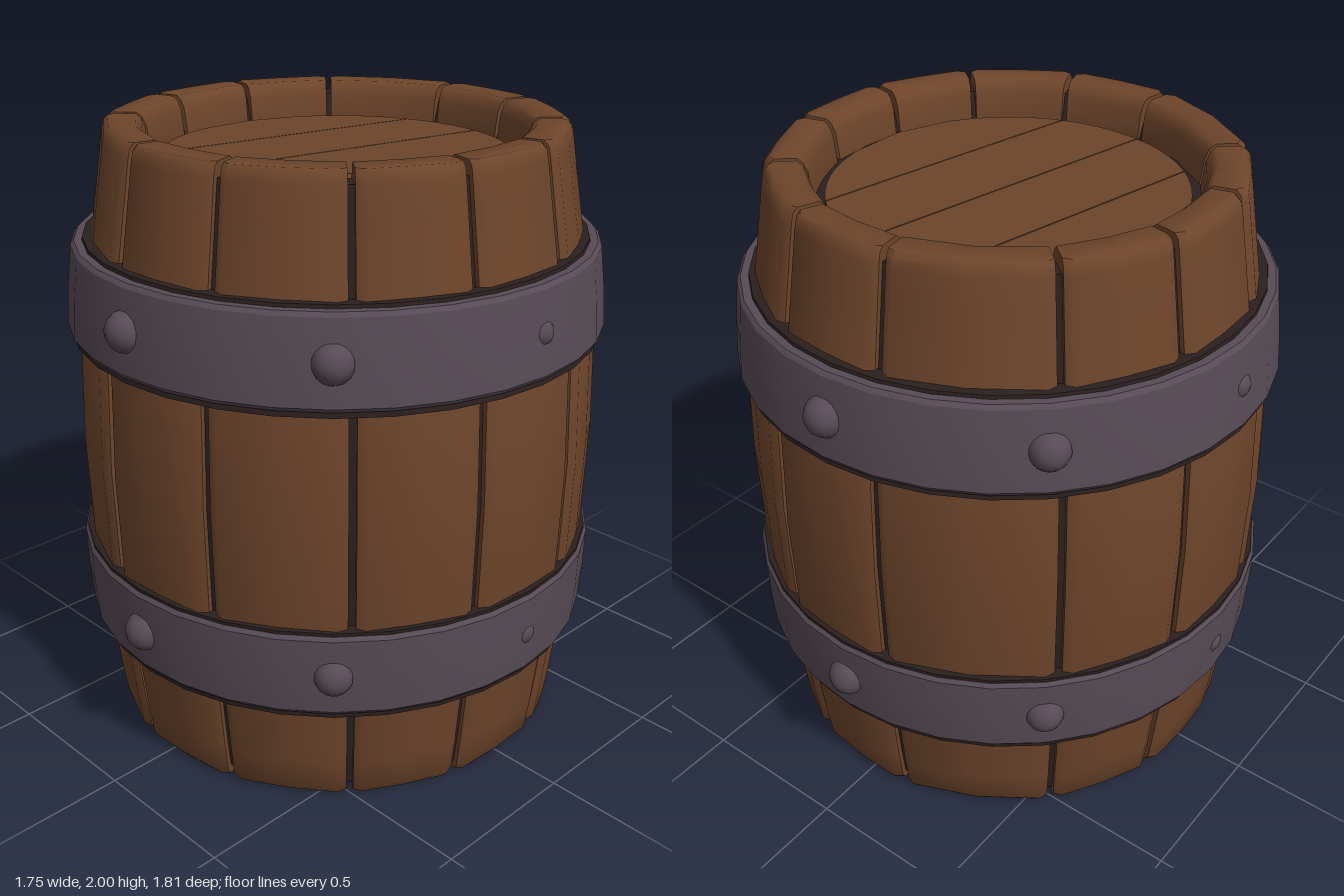
import * as THREE from 'three';
import { toCreasedNormals } from 'three/addons/utils/BufferGeometryUtils.js';

const wood = new THREE.MeshStandardMaterial({ color: 0x6d452b });
wood.name = 'brown wood';
const iron = new THREE.MeshStandardMaterial({ color: 0x574b55 });
iron.name = 'grey iron';
const dark = new THREE.MeshStandardMaterial({ color: 0x2b1f1f });
dark.name = 'dark seam';

// Barrel silhouette: height, outer radius, inner radius
const PROFILE = [
  [0, 0.758, 0.645], [0.02, 0.774, 0.635], [0.13, 0.789, 0.62], [0.36, 0.815, 0.59],
  [0.66, 0.847, 0.59], [1, 0.856, 0.59], [1.34, 0.844, 0.59], [1.64, 0.788, 0.59],
  [1.87, 0.75, 0.59], [1.955, 0.736, 0.6], [1.985, 0.729, 0.612], [2, 0.714, 0.63],
];

// Stave seams in degrees, from the front towards +x
const SEAMS = [-9.3, 19, 48.8, 75.8, 103.8, 132.6, 161.5, 190, 228, 256, 284, 312, 350.7];

// Rivets: angle, radius, distance from the axis
const RIVETS = [
  [0, 0.065, 0.842], [45, 0.062, 0.842], [90, 0.045, 0.828],
  [180, 0.065, 0.842], [225, 0.062, 0.842], [270, 0.045, 0.828],
];

function add(parent, name, geometry, material) {
  const mesh = new THREE.Mesh(geometry, material);
  mesh.name = name;
  parent.add(mesh);
  return mesh;
}

// One stave lofted through rounded cross-sections between two angles
function staveGeometry(a0, a1) {
  const mid = (a0 + a1) / 2;
  const gap = 0.014, bevel = 0.05;
  const pos = [], index = [];
  for (const [y, R, r] of PROFILE) {
    const section = [
      [a0 + gap, R - 0.016], [a0 + bevel, R], [mid, R * 0.99], [a1 - bevel, R], [a1 - gap, R - 0.016],
      [a1 - gap, r], [mid, r * 0.99], [a0 + gap, r],
    ];
    for (const [a, d] of section) pos.push(d * Math.sin(a), y, d * Math.cos(a));
  }
  const n = 8, top = (PROFILE.length - 1) * n;
  for (let k = 0; k < top; k += n) {
    for (let i = 0; i < n; i++) {
      const j = (i + 1) % n;
      index.push(k + i, k + j, k + n + j, k + i, k + n + j, k + n + i);
    }
  }
  // End caps fan out from a centre point
  for (const base of [0, top]) {
    const [y, R, r] = PROFILE[base / n];
    const c = pos.length / 3, d = (R + r) / 2;
    pos.push(d * Math.sin(mid), y, d * Math.cos(mid));
    for (let i = 0; i < n; i++) {
      const p = base + i, q = base + (i + 1) % n;
      if (base) index.push(c, p, q);
      else index.push(c, q, p);
    }
  }
  const g = new THREE.BufferGeometry();
  g.setAttribute('position', new THREE.Float32BufferAttribute(pos, 3));
  g.setIndex(index);
  return toCreasedNormals(g, 0.85);
}

function lathe(points, segments) {
  const g = new THREE.LatheGeometry(points.map(([x, y]) => new THREE.Vector2(x, y)), segments);
  return toCreasedNormals(g, 0.5);
}

// A strip of a disc between x = a and x = b
function plankGeometry(a, b, radius, depth) {
  const pts = [], steps = 8;
  for (const side of [-1, 1]) {
    for (let i = 0; i <= steps; i++) {
      const t = side < 0 ? i / steps : 1 - i / steps;
      const x = a + (b - a) * t;
      pts.push(new THREE.Vector2(x, side * Math.sqrt(Math.max(0, radius * radius - x * x))));
    }
  }
  return new THREE.ExtrudeGeometry(new THREE.Shape(pts), { depth, bevelEnabled: false }).rotateX(-Math.PI / 2);
}

function createHead(name, y, radius, gap, count) {
  const head = new THREE.Group();
  head.name = name;
  const w = 2 * radius / count;
  for (let i = 0; i < count; i++) {
    const a = -radius + i * w + (i ? gap / 2 : 0);
    const b = -radius + (i + 1) * w - (i < count - 1 ? gap / 2 : 0);
    add(head, 'headPlank', plankGeometry(a, b, radius, 0.03), wood);
  }
  head.position.y = y;
  head.rotation.y = -0.2;
  return head;
}

// Iron band with a dark seam behind it and rivets around it
function createHoop(y, radius, slope, topSeamRadius) {
  const hoop = new THREE.Group();
  hoop.name = 'hoop';
  const at = h => radius + slope * h;
  add(hoop, 'band', lathe([
    [0.76, -0.138], [at(-0.138) - 0.01, -0.138], [at(-0.125), -0.125], [at(0) + 0.003, 0],
    [at(0.13), 0.13], [at(0.143) - 0.01, 0.143], [0.76, 0.143],
  ], 32), iron);
  add(hoop, 'bandSeam', lathe([
    [0.76, -0.157], [at(-0.157) - 0.016, -0.157], [topSeamRadius, 0.154], [0.76, 0.154],
  ], 32), dark);
  for (const [deg, size, distance] of RIVETS) {
    const a = deg * Math.PI / 180;
    const rivet = add(hoop, 'rivet', new THREE.SphereGeometry(size, 14, 10), iron);
    rivet.position.set(distance * Math.sin(a), 0, distance * Math.cos(a));
  }
  hoop.position.y = y;
  return hoop;
}

export function createModel() {
  const barrel = new THREE.Group();
  barrel.name = 'barrel';

  // Staves
  const staves = new THREE.Group();
  staves.name = 'staves';
  for (let i = 0; i < SEAMS.length - 1; i++) {
    const [a0, a1] = [SEAMS[i], SEAMS[i + 1]].map(THREE.MathUtils.degToRad);
    add(staves, 'stave', staveGeometry(a0, a1), wood);
  }
  barrel.add(staves);

  // Dark core that shows through the seams, around the heads and inside the bottom rim
  const shell = PROFILE.slice(2, -2).map(([y, R]) => [R - 0.032, y]);
  add(barrel, 'seamCore', lathe([
    [0, 0.07], [0.605, 0.07], [0.622, 0.01], [0.66, 0.01], [0.69, 0.03], [0.742, 0.03],
    ...shell, [0.63, 1.955], [0.6, 1.87], [0, 1.87],
  ], 48), dark);

  // Planked heads
  barrel.add(createHead('topHead', 1.86, 0.555, 0.004, 4));
  barrel.add(createHead('bottomHead', 0.05, 0.49, 0.03, 5));

  // Hoops
  barrel.add(createHoop(0.5, 0.86, 0.05, 0.857), createHoop(1.5, 0.857, -0.1, 0.806));
  return barrel;
}
